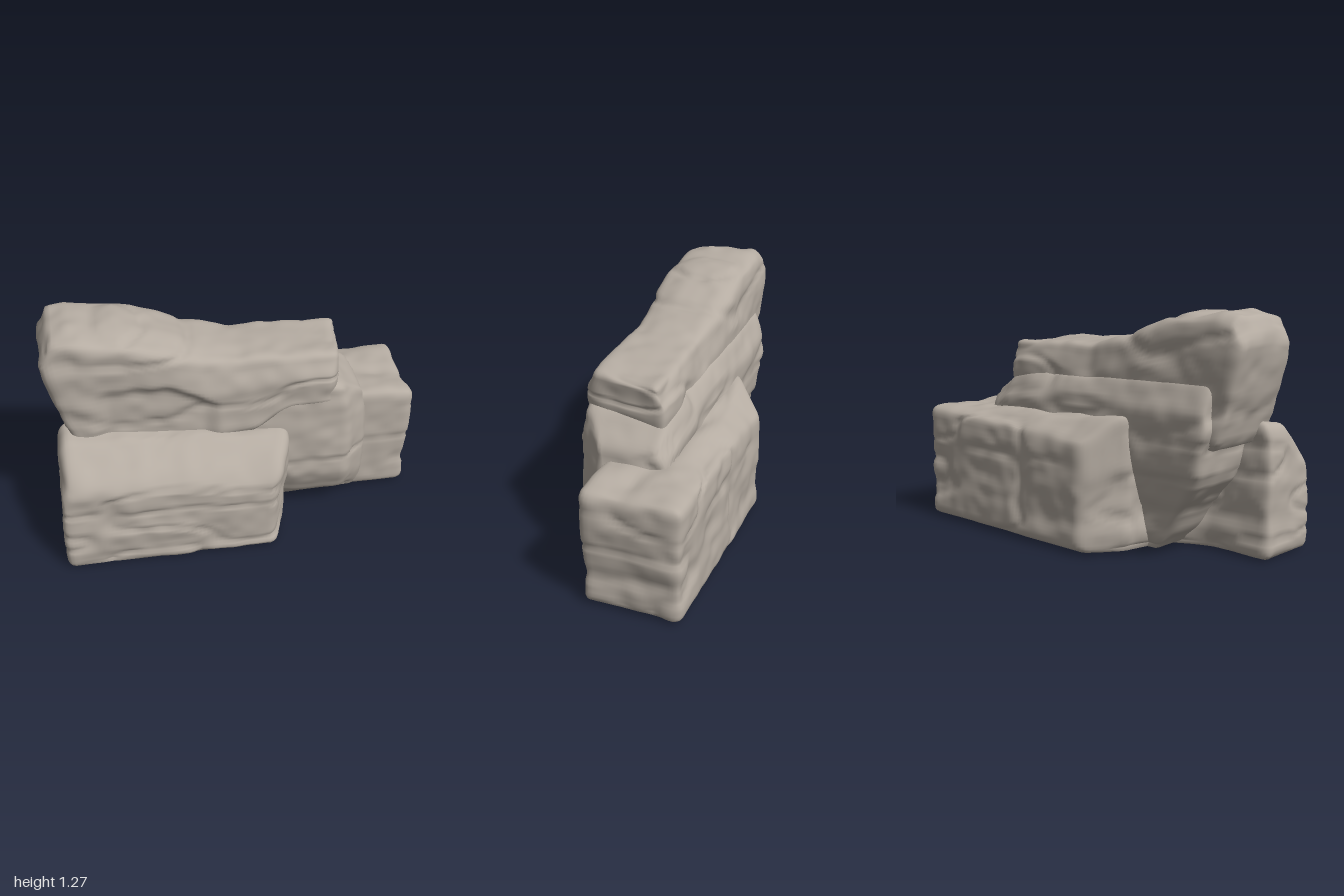
import * as THREE from 'three';
import { mergeVertices } from 'three/addons/utils/BufferGeometryUtils.js';

const { lerp, clamp, smoothstep } = THREE.MathUtils;

// Piecewise-linear profile through [position, value] points
function profile(t, pts) {
  for (let i = 1; i < pts.length; i++) {
    const [a, va] = pts[i - 1], [b, vb] = pts[i];
    if (t <= b) return lerp(va, vb, clamp((t - a) / (b - a), 0, 1));
  }
  return pts[pts.length - 1][1];
}

// Seeded smooth value noise, -1..1
function hash(x, y, z) {
  const s = Math.sin(x * 127.1 + y * 311.7 + z * 74.7) * 43758.5453;
  return (s - Math.floor(s)) * 2 - 1;
}
function noise(x, y, z) {
  const c = [x, y, z].map(Math.floor);
  const [u, v, w] = [x - c[0], y - c[1], z - c[2]].map(f => f * f * (3 - 2 * f));
  const row = (j, k) => lerp(hash(c[0], c[1] + j, c[2] + k), hash(c[0] + 1, c[1] + j, c[2] + k), u);
  return lerp(lerp(row(0, 0), row(1, 0), v), lerp(row(0, 1), row(1, 1), v), w);
}

// Weathering: broad lumps, horizontal strata with sharp grooves, fine chips
function weather(x, y, z) {
  const yy = y + 0.06 * x + 0.03 * noise(x * 3, y * 2, z * 3);
  const lumps = noise(x * 5 + 7, y * 6, z * 5);
  const strata = noise(x * 2, yy * 11, z * 2 + 3);
  const groove = Math.max(0, 1 - Math.abs(noise(x * 2 + 5, yy * 8 + 9, z * 2)) * 6);
  const chips = noise(x * 13, y * 15, z * 13);
  return 0.01 * lumps + 0.01 * strata - 0.014 * groove + 0.006 * chips - 0.004;
}

// Rounded block of the given size, reshaped by place(u, v, w) with each in 0..1
function block(name, size, radius, place, material) {
  const [sx, sy, sz] = size;
  const seg = size.map(s => Math.round(s / 0.022));
  let geo = new THREE.BoxGeometry(sx, sy, sz, ...seg);
  geo.deleteAttribute('uv');
  geo.deleteAttribute('normal');
  geo = mergeVertices(geo, 1e-4);
  const pos = geo.attributes.position;
  const p = new THREE.Vector3(), core = new THREE.Vector3();
  const lim = new THREE.Vector3(sx / 2 - radius, sy / 2 - radius, sz / 2 - radius);
  const low = lim.clone().negate();
  for (let i = 0; i < pos.count; i++) {
    p.fromBufferAttribute(pos, i);
    core.copy(p).clamp(low, lim);
    p.sub(core);
    if (p.lengthSq() > 1e-10) p.setLength(radius);
    p.add(core);
    pos.setXYZ(i, ...place(p.x / sx + 0.5, p.y / sy + 0.5, p.z / sz + 0.5));
  }
  geo.computeVertexNormals();
  const n = geo.attributes.normal.clone();
  for (let i = 0; i < pos.count; i++) {
    p.fromBufferAttribute(pos, i);
    // keep the underside nearly flat
    const d = weather(p.x, p.y, p.z) * (n.getY(i) < -0.7 ? 0.2 : 1);
    pos.setXYZ(i, p.x + n.getX(i) * d, Math.max(0, p.y + n.getY(i) * d), p.z + n.getZ(i) * d);
  }
  geo.computeVertexNormals();
  const mesh = new THREE.Mesh(geo, material);
  mesh.name = name;
  return mesh;
}

export function createModel() {
  const rock = new THREE.Group();
  rock.name = 'layeredRock';
  const stone = new THREE.MeshStandardMaterial({ color: 0xb5aca2, roughness: 1 });

  // Low slab in front, its top sloping down to the front and right
  const front = block('frontSlab', [1.15, 0.62, 0.46], 0.05, (u, v, w) => {
    const z = lerp(lerp(0.09, -0.1, smoothstep(u, 0.3, 0.65)), 0.465, w);
    const right = profile(z, [[0, 0.25], [0.27, 0.25], [0.38, 0.2], [0.46, 0.17]])
      - 0.05 * (1 - smoothstep(v, 0, 0.3)) * (1 - w);
    const x = lerp(-0.965 + 0.03 * smoothstep(v, 0.8, 1), right, u);
    const top = profile(z, [[0.05, 0.74], [0.26, 0.7], [0.4, 0.58], [0.465, 0.51]]) - (0.11 - 0.06 * w) * u;
    return [x, lerp(0.01, top, v), z];
  }, stone);

  // Low slab behind, reaching out to the right, with a chamfered left end
  const back = block('backSlab', [1.35, 0.64, 0.52], 0.045, (u, v, w) => {
    const left = profile(w, [[0, -0.2], [0.13, -0.26], [0.35, -0.37], [1, -0.45]]);
    const x = lerp(left, 0.995, u);
    const top = 0.655 + (1 - u) * lerp(-0.04, 0.08, smoothstep(w, 0, 0.35));
    return [x, lerp(0.02, top, v), lerp(-0.468, 0.06, w)];
  }, stone);

  // Middle core joining the slabs, undercut at the left end and along its front foot
  const core = block('middleCore', [1.5, 0.86, 0.5], 0.05, (u, v, w) => {
    const right = profile(w, [[0, 0.7], [0.7, 0.72], [0.88, 0.63], [1, 0.6]]) - 0.03 * smoothstep(v, 0.75, 1) * w;
    const left = profile(v, [[0, -0.45], [0.25, -0.62], [0.45, -0.77], [0.75, -0.84], [1, -0.84]]);
    const x = lerp(left, right, u);
    const top = profile(x, [[-0.8, 0.94], [0.3, 0.9], [0.55, 0.85], [0.62, 0.8], [0.7, 0.74]]);
    const foot = 0.02 + 0.1 * smoothstep(w, 0.65, 1);
    const zBack = -0.285 + 0.13 * (1 - u) * (1 - smoothstep(v, 0, 0.7)) + 0.05 * smoothstep(v, 0.82, 1);
    const zFront = lerp(0.18, 0.238, smoothstep(v, 0, 0.25))
      - 0.07 * smoothstep(v, 0.6, 0.75) * (1 - smoothstep(x, -0.1, 0.2));
    return [x, lerp(foot, top, v), lerp(zBack, zFront, w)];
  }, stone);

  // Tall upper slab rising to an overhanging peak on one end
  const ridge = [[-1, 1.2], [-0.94, 1.255], [-0.85, 1.275], [-0.6, 1.255], [-0.4, 1.18],
    [-0.2, 1.11], [0, 1.065], [0.55, 1.035]];
  const upper = block('upperSlab', [1.55, 0.55, 0.46], 0.05, (u, v, w) => {
    const left = profile(v, [[0, -0.86], [0.18, -0.89], [0.3, -0.93], [0.55, -0.96], [0.88, -1], [1, -0.985]]);
    const right = lerp(0.59, 0.51, w);
    const x = lerp(left, right, u);
    const crown = 0.03 * smoothstep(w, 0.6, 1) + 0.02 * smoothstep(1 - w, 0.8, 1);
    const floor = 0.6 + 0.15 * smoothstep(x, 0, 0.3);
    const y = lerp(floor, profile(x, ridge) - crown * (1 - smoothstep(x, -0.3, 0.1)), v);
    const taper = 0.04 * smoothstep(v, 0.6, 1) * smoothstep(x, -0.7, 0);
    const zFront = profile(x, [[-1, 0.2], [-0.8, 0.23], [-0.2, 0.255], [0.1, 0.245], [0.5, 0.24]]);
    let z = lerp(-0.225 + taper, zFront - taper, w);
    // arched hollow under the front lip
    const lip = 0.97 - 0.12 * smoothstep(x, -0.4, -0.1);
    const hollow = smoothstep(x, -0.78, -0.66) * (1 - smoothstep(x, -0.2, -0.1)) *
      (1 - smoothstep(y, lip - 0.06, lip));
    z -= 0.035 * hollow * smoothstep(w, 0.7, 1);
    return [x, y, z];
  }, stone);

  rock.add(front, back, core, upper);
  return rock;
}
